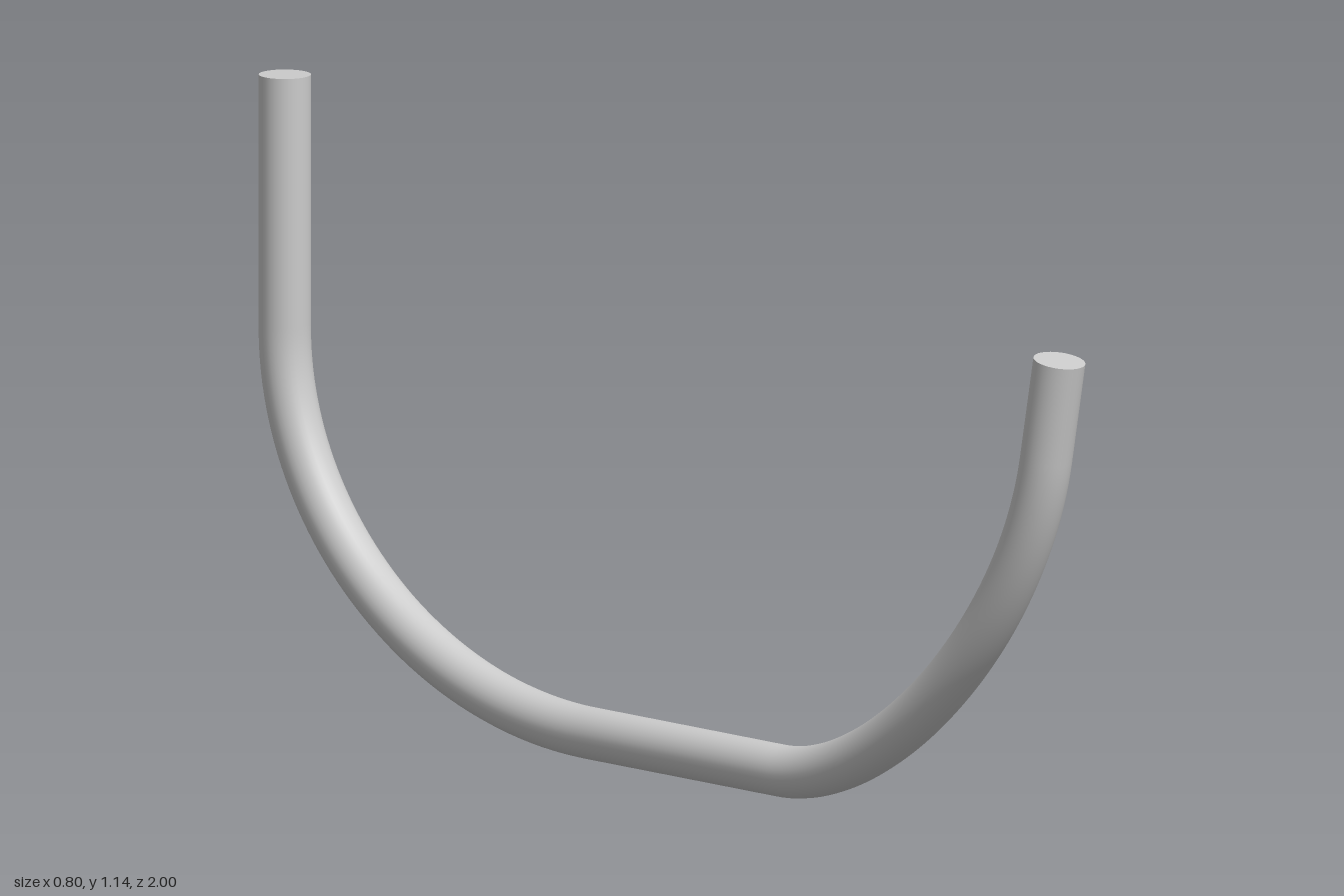
import * as THREE from 'three';

const RADIUS = 0.047;
const SIDES = 32;
const YAW = Math.atan2(0.354, 0.953); // the bent rod lies in a turned vertical plane

// point in the rod's plane, given by its z after turning and its height
const p = (z, y) => new THREE.Vector3(0, y, z / Math.cos(YAW));

// rod axis: upright end, wide bend, flat bottom, tighter bend, leaning end
function rodPath() {
  const k = 0.5523; // quarter-ellipse handle length
  const path = new THREE.CurvePath();
  const top = p(-0.953, 1.14), backBend = p(-0.953, 0.68);
  const flatBack = p(-0.2, RADIUS + 0.002), flatFront = p(0.27, RADIUS + 0.002);
  const frontBend = p(0.92, 0.71), tip = p(0.953, 0.896);
  path.add(new THREE.LineCurve3(top, backBend));
  path.add(new THREE.CubicBezierCurve3(
    backBend, p(-0.953, 0.68 - 0.63 * k), p(-0.2 - 0.753 * k, flatBack.y), flatBack));
  path.add(new THREE.LineCurve3(flatBack, flatFront));
  path.add(new THREE.CubicBezierCurve3(
    flatFront, p(0.515, flatFront.y), p(0.861, 0.38), frontBend));
  path.add(new THREE.LineCurve3(frontBend, tip));
  return path;
}

export function createModel() {
  const model = new THREE.Group();
  model.name = 'bentRod';
  const material = new THREE.MeshStandardMaterial({ color: 0xcccccc });
  const path = rodPath();

  // round rod swept along the path
  const rod = new THREE.Mesh(new THREE.TubeGeometry(path, 160, RADIUS, SIDES, false), material);
  rod.name = 'rod';
  model.add(rod);

  // flat discs closing both ends
  for (const [name, t, sign] of [['backEndCap', 0, -1], ['frontEndCap', 1, 1]]) {
    const cap = new THREE.Mesh(new THREE.CircleGeometry(RADIUS, SIDES), material);
    cap.name = name;
    cap.position.copy(path.getPointAt(t));
    const outward = path.getTangentAt(t).multiplyScalar(sign);
    cap.quaternion.setFromUnitVectors(new THREE.Vector3(0, 0, 1), outward);
    model.add(cap);
  }

  model.rotation.y = YAW;
  const root = new THREE.Group();
  root.name = 'hook';
  root.add(model);
  return root;
}
